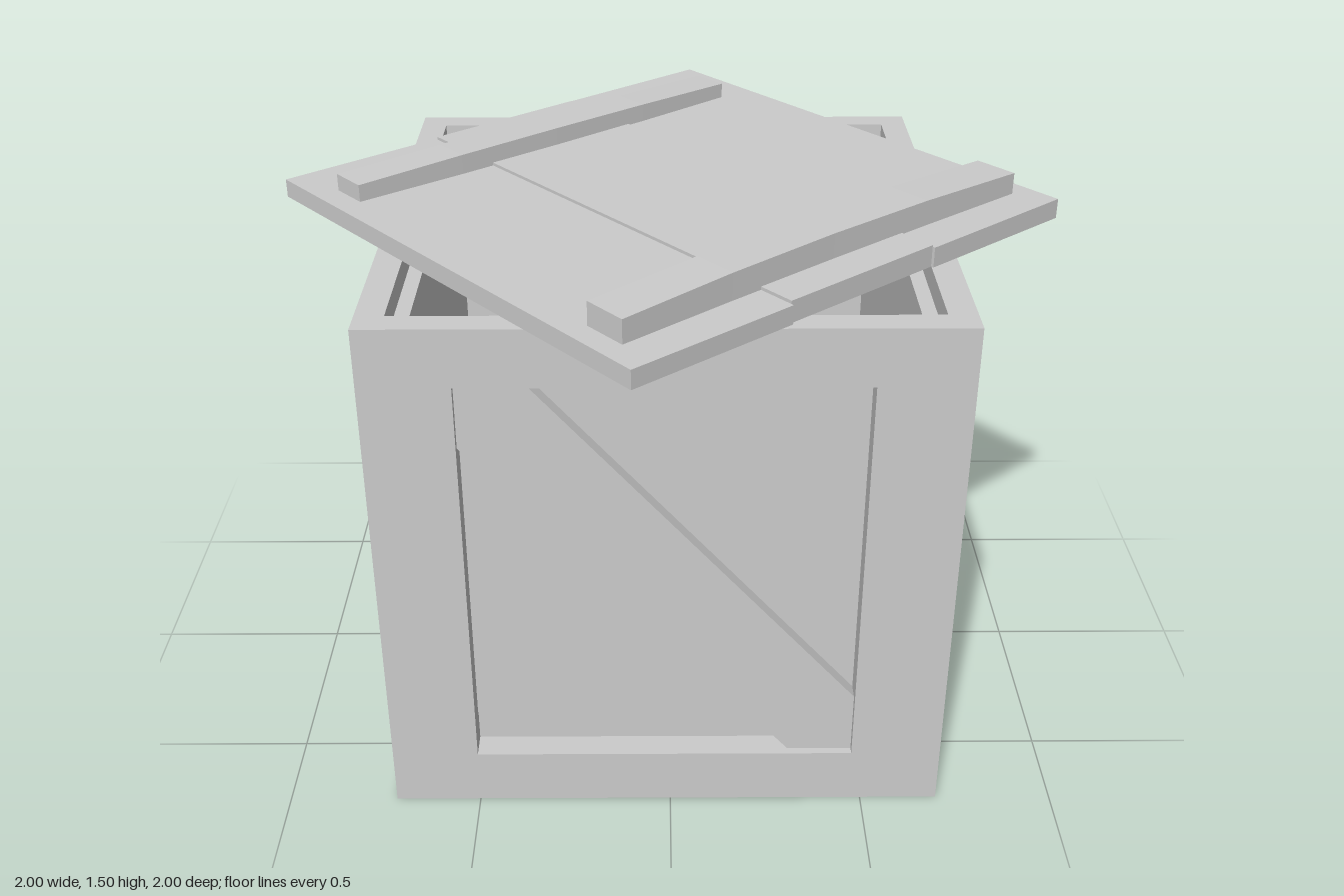
import * as THREE from 'three';

const material = new THREE.MeshStandardMaterial({ color: 0xcccccc, flatShading: true });
const SIZE = 1.42, HALF = SIZE / 2, HEIGHT = 1.38, WALL = 0.07;

function add(parent, name, geometry, x = 0, y = 0, z = 0) {
  const mesh = new THREE.Mesh(geometry, material);
  mesh.name = name;
  mesh.position.set(x, y, z);
  parent.add(mesh);
  return mesh;
}

function polygon(points) {
  return new THREE.Shape(points.map(([x, y]) => new THREE.Vector2(x, y)));
}

const rect = (x0, y0, x1, y1) => [[x0, y0], [x1, y0], [x1, y1], [x0, y1]];

function extrude(outline, depth, hole) {
  const shape = polygon(outline);
  if (hole) shape.holes.push(polygon(hole));
  return new THREE.ExtrudeGeometry(shape, { depth, bevelEnabled: false });
}

// Beam along x whose height and sideways position vary by a rule
function warpedBeam(length, height, width, rule) {
  const geometry = new THREE.BoxGeometry(length, height, width, 4, 1, 1);
  const p = geometry.attributes.position;
  for (let i = 0; i < p.count; i++) {
    const [dy, dz] = rule(p.getX(i) / length * 2);
    if (p.getY(i) > 0) p.setY(i, p.getY(i) + dy);
    p.setZ(i, p.getZ(i) + dz);
  }
  geometry.computeVertexNormals();
  return geometry;
}

// One wall facing +z: a picture-frame surround with a recessed panel
function makeWall(name, width, left, right, panelDepth, braceSign) {
  const wall = new THREE.Group();
  wall.name = name;
  add(wall, 'wallFrame', extrude(rect(-width / 2, 0, width / 2, HEIGHT), WALL,
    rect(left, 0.15, right, 1.23)), 0, 0, HALF - WALL);
  const inner = SIZE - 2 * WALL;
  const face = HALF - 0.062;
  if (!braceSign) {
    add(wall, 'panel', new THREE.BoxGeometry(inner, 1.26, panelDepth), 0, 0.69, face - panelDepth / 2);
    return wall;
  }
  // Upper panel, lower board set slightly deeper, and diagonal brace
  add(wall, 'panel', new THREE.BoxGeometry(inner, 1.08, panelDepth), 0, 0.78, face - panelDepth / 2);
  add(wall, 'lowerBoard', new THREE.BoxGeometry(inner, 0.18, panelDepth - 0.02), 0, 0.15, face - 0.02 - (panelDepth - 0.02) / 2);
  const brace = [[-0.49, 1.06], [-0.325, 1.23], [-0.49, 1.23], [0.48, 0.32], [0.48, 0.15], [0.315, 0.15]];
  const order = [0, 5, 4, 3, 1, 2].map((i) => [brace[i][0] * braceSign, brace[i][1]]);
  add(wall, 'diagonalBrace', extrude(order, 0.06), 0, 0, HALF - 0.08);
  return wall;
}

export function createModel() {
  const model = new THREE.Group();
  model.name = 'openCrate';

  // Crate body
  const body = new THREE.Group();
  body.name = 'crateBody';
  body.position.set(-0.01, 0, 0.01);
  model.add(body);

  const inner = SIZE - 2 * WALL;
  const front = makeWall('frontWall', SIZE, -0.49, 0.48, 0.085, 1);
  const back = makeWall('backWall', SIZE, -0.48, 0.49, 0.085, -1);
  back.rotation.y = Math.PI;
  const leftSide = makeWall('leftWall', inner, -0.49, 0.48, 0.045, 0);
  leftSide.rotation.y = Math.PI / 2;
  const rightSide = makeWall('rightWall', inner, -0.48, 0.49, 0.045, 0);
  rightSide.rotation.y = -Math.PI / 2;
  body.add(front, back, leftSide, rightSide);

  // Bottom surround and recessed floor
  const ring = extrude(rect(-inner / 2, -inner / 2, inner / 2, inner / 2), 0.05,
    rect(-0.6, -0.6, 0.6, 0.6));
  add(body, 'bottomFrame', ring, 0, 0.05, 0).rotation.x = Math.PI / 2;
  add(body, 'floor', new THREE.BoxGeometry(inner, 0.04, inner), 0, 0.068, 0);

  // Lid turned askew on the rim
  const lid = new THREE.Group();
  lid.name = 'lid';
  lid.position.set(-0.007, HEIGHT, 0.005);
  lid.rotation.y = THREE.MathUtils.degToRad(40.5);
  model.add(lid);

  // Three planks side by side, slightly uneven
  const planks = [[0.048, 1.42], [0.056, 1.405], [0.052, 1.42]];
  const plankWidth = 1.42 / 3;
  planks.forEach(([height, length], i) => {
    add(lid, 'lidPlank', new THREE.BoxGeometry(plankWidth, height, length),
      (i - 1) * plankWidth, height / 2, 0);
  });

  // Two battens across the planks, bowed and a little crooked
  const backBatten = warpedBeam(1.25, 0.055, 0.105,
    (t) => [-0.01 * t * t, 0.012 * (1 - t * t)]);
  add(lid, 'backBatten', backBatten, -0.02, 0.0755, -0.5);
  const frontBatten = warpedBeam(1.3, 0.06, 0.12,
    (t) => [0.012 * (1 - t * t), -0.008 * (1 - t * t)]);
  add(lid, 'frontBatten', frontBatten, 0.0, 0.078, 0.55);

  return model;
}
